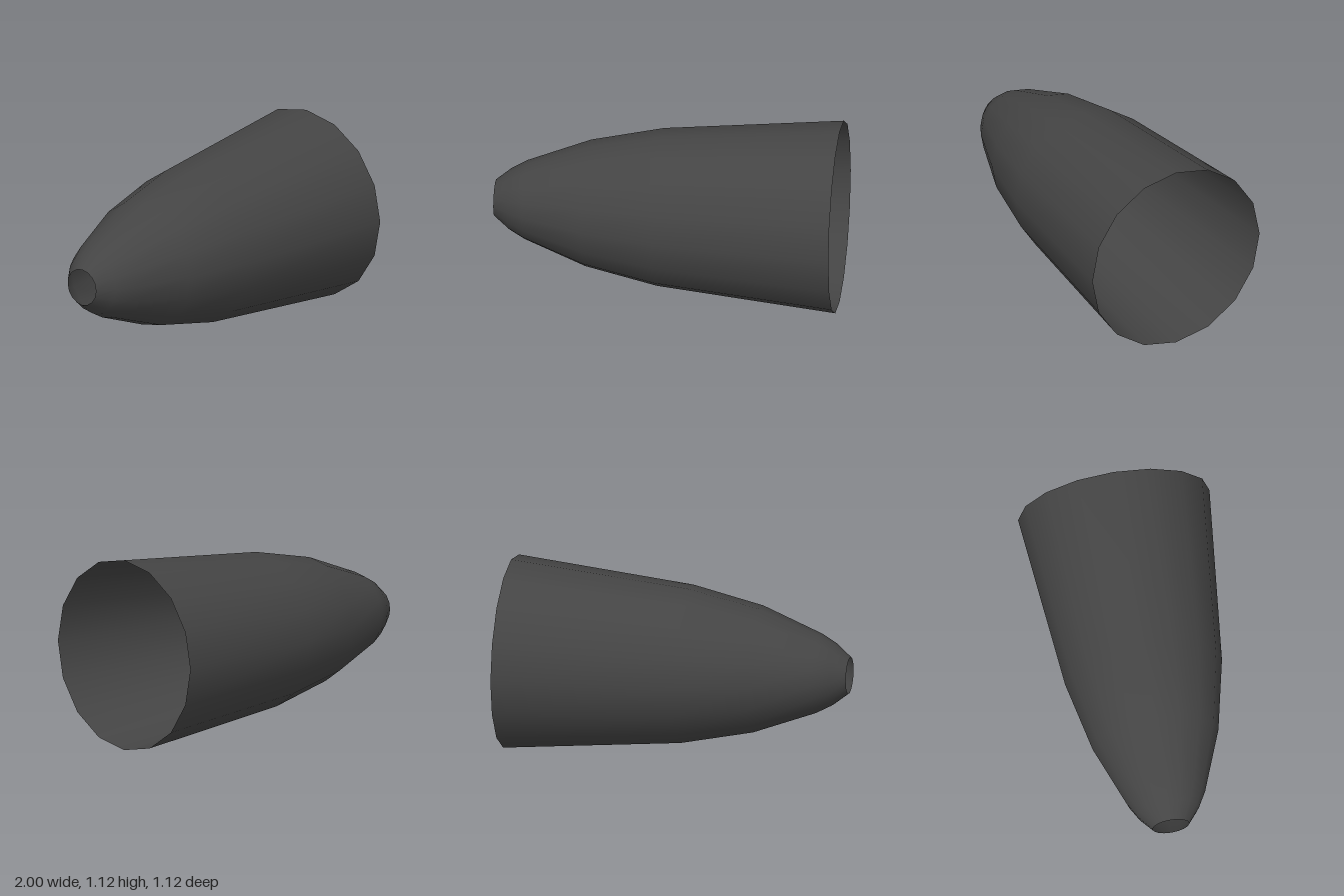
import * as THREE from 'three';

export function createModel() {
  const group = new THREE.Group();
  group.name = 'noseCone';

  // Profile of the thin shell: [position along x, radius]
  const profile = [
    [-1, 0.107], [-0.91, 0.18], [-0.82, 0.23],
    [-0.46, 0.368], [-0.04, 0.459], [1, 0.56],
  ].map(([x, r]) => new THREE.Vector2(r, x));

  // Sixteen-sided tapered shell, open at both ends, lying along x
  const geometry = new THREE.LatheGeometry(profile, 16);
  geometry.rotateZ(-Math.PI / 2);

  const material = new THREE.MeshStandardMaterial({ color: 0x444444, side: THREE.DoubleSide });
  const shell = new THREE.Mesh(geometry, material);
  shell.name = 'taperedShell';
  shell.position.y = 0.56;
  group.add(shell);

  return group;
}
